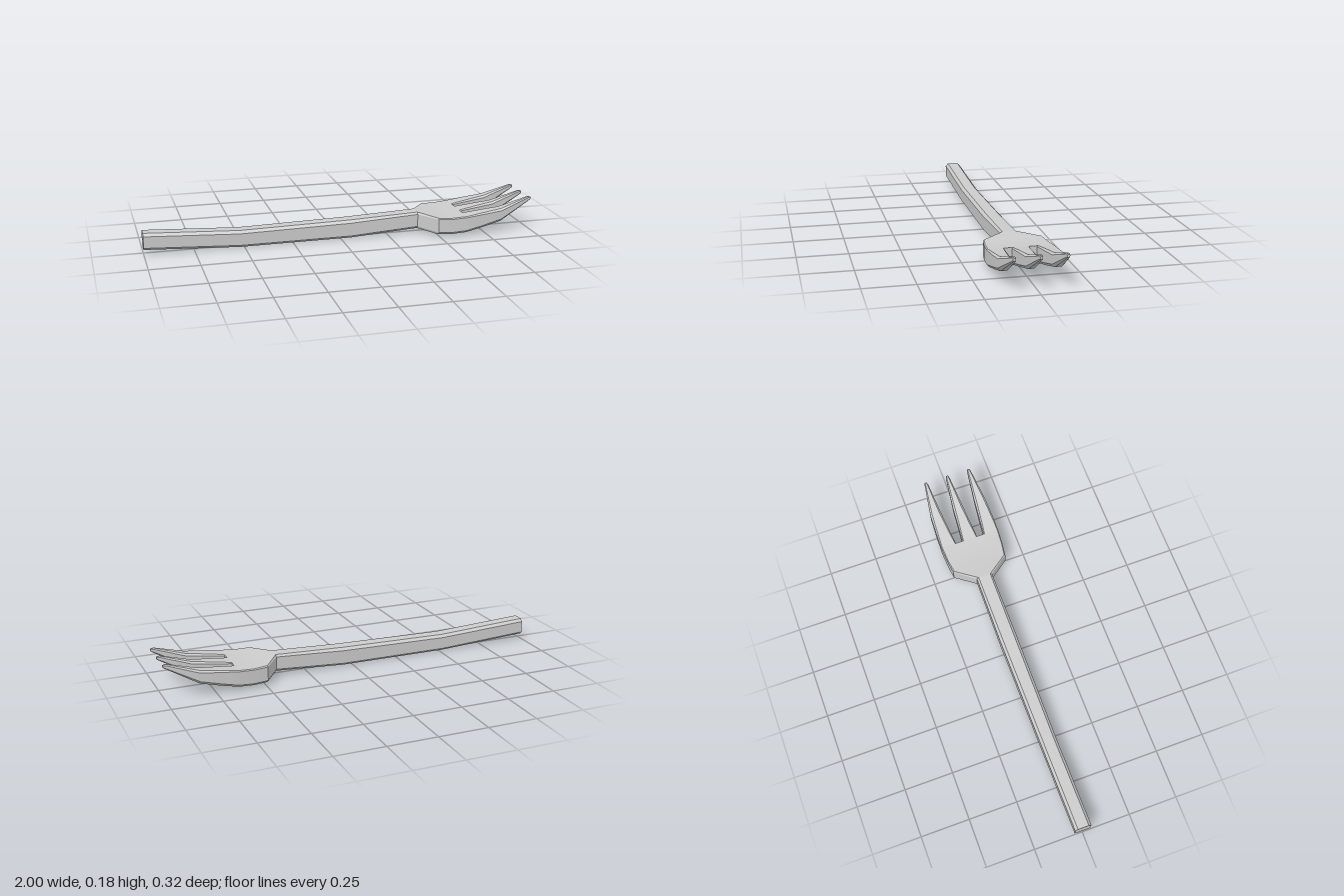
import * as THREE from 'three';
import { toCreasedNormals } from 'three/addons/utils/BufferGeometryUtils.js';

const material = new THREE.MeshStandardMaterial({ color: 0xcccccc });

// Box section with chamfered corners, counter-clockwise as seen from +x
function section([x, y0, y1, z0, z1, low, high]) {
  return [
    [x, y0, z1 - low], [x, y0, z0 + low],
    [x, y0 + low, z0], [x, y1 - high, z0],
    [x, y1, z0 + high], [x, y1, z1 - high],
    [x, y1 - high, z1], [x, y0 + low, z1],
  ];
}

// Skin a run of sections along x and close both ends
function loft(name, stations) {
  const rings = stations.map(section);
  const n = rings[0].length;
  const pos = [];
  const tri = (a, b, c) => pos.push(...a, ...b, ...c);
  for (let i = 0; i < rings.length - 1; i++) {
    for (let j = 0; j < n; j++) {
      const k = (j + 1) % n;
      const a = rings[i][j], b = rings[i][k], c = rings[i + 1][k], d = rings[i + 1][j];
      tri(a, b, c);
      tri(a, c, d);
    }
  }
  const first = rings[0], last = rings[rings.length - 1];
  for (let j = 1; j < n - 1; j++) {
    tri(first[0], first[j + 1], first[j]);
    tri(last[0], last[j], last[j + 1]);
  }
  const geometry = new THREE.BufferGeometry();
  geometry.setAttribute('position', new THREE.Float32BufferAttribute(pos, 3));
  const mesh = new THREE.Mesh(toCreasedNormals(geometry, 0.5), material);
  mesh.name = name;
  return mesh;
}

export function createModel() {
  const group = new THREE.Group();
  group.name = 'fork';

  // Stations: x, bottom, top, zMin, zMax, bottom chamfer, top chamfer
  group.add(loft('handle', [
    [-1.0, 0.03, 0.115, -0.042, 0.042, 0.012, 0.014],
    [-0.52, 0.004, 0.09, -0.042, 0.042, 0.012, 0.014],
    [0.05, 0.006, 0.1, -0.045, 0.045, 0.012, 0.014],
    [0.41, 0.027, 0.114, -0.042, 0.042, 0.012, 0.01],
  ]));

  // Flat palm that flares out from the handle
  group.add(loft('palm', [
    [0.41, 0.027, 0.114, -0.042, 0.042, 0.012, 0.01],
    [0.49, 0.018, 0.106, -0.145, 0.145, 0.012, 0.006],
    [0.56, 0.016, 0.103, -0.154, 0.154, 0.012, 0.005],
    [0.64, 0.022, 0.108, -0.159, 0.159, 0.012, 0.005],
  ]));

  // Three tines curving up to narrow tips
  group.add(loft('middleTine', [
    [0.64, 0.022, 0.108, -0.041, 0.041, 0.012, 0.005],
    [0.73, 0.041, 0.121, -0.034, 0.034, 0.014, 0.008],
    [0.83, 0.066, 0.134, -0.027, 0.027, 0.014, 0.01],
    [0.985, 0.156, 0.181, -0.01, 0.01, 0.005, 0.005],
    [1.0, 0.165, 0.178, -0.006, 0.006, 0.003, 0.003],
  ]));
  for (const side of [1, -1]) {
    const stations = [
      [0.64, 0.022, 0.108, 0.078, 0.159, 0.012, 0.005],
      [0.73, 0.041, 0.121, 0.086, 0.158, 0.014, 0.008],
      [0.83, 0.066, 0.134, 0.095, 0.154, 0.014, 0.01],
      [0.985, 0.156, 0.181, 0.11, 0.13, 0.005, 0.005],
      [1.0, 0.165, 0.178, 0.114, 0.126, 0.003, 0.003],
    ].map(([x, y0, y1, a, b, low, high]) =>
      [x, y0, y1, Math.min(a * side, b * side), Math.max(a * side, b * side), low, high]);
    group.add(loft(side > 0 ? 'frontTine' : 'backTine', stations));
  }

  // Rest the underside on the ground
  group.position.y = -0.004;
  return group;
}
